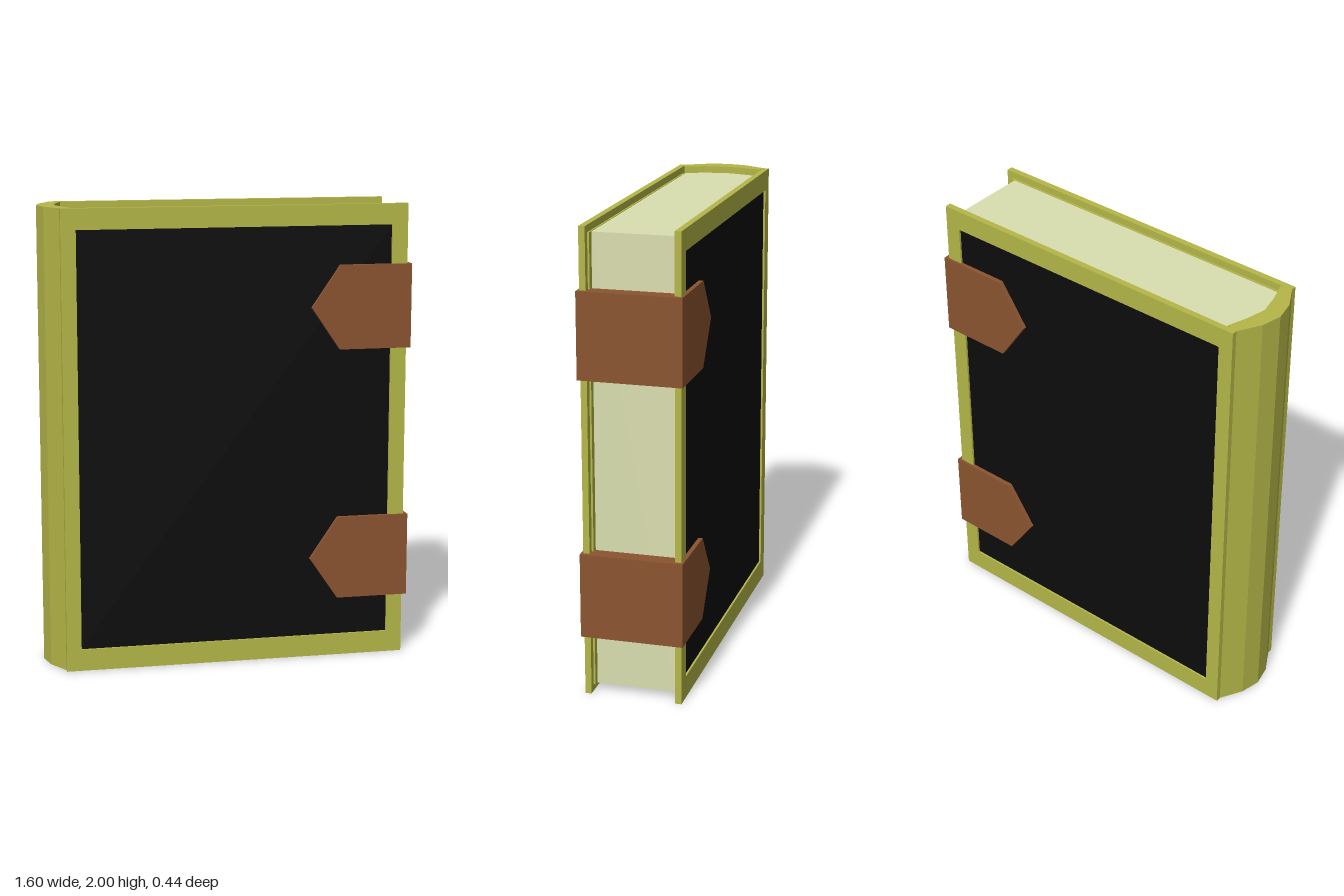
import * as THREE from 'three';

const mat = (color) => new THREE.MeshStandardMaterial({ color, flatShading: true });

function polygon(points) {
  return new THREE.Shape(points.map(([x, y]) => new THREE.Vector2(x, y)));
}

function rectPoints(x0, y0, x1, y1) {
  return [[x0, y0], [x1, y0], [x1, y1], [x0, y1]];
}

// Slab drawn in the xy plane between z0 and z1
function slab(shape, z0, z1) {
  const g = new THREE.ExtrudeGeometry(shape, { depth: z1 - z0, bevelEnabled: false });
  return g.translate(0, 0, z0);
}

// Outline drawn in the xz plane, raised from y0 to y1
function column(points, y0, y1) {
  const shape = polygon(points.map(([x, z]) => [x, -z]));
  const g = new THREE.ExtrudeGeometry(shape, { depth: y1 - y0, bevelEnabled: false });
  return g.rotateX(-Math.PI / 2).translate(0, y0, 0);
}

export function createModel() {
  const book = new THREE.Group();
  book.name = 'book';
  const gold = mat(0xb5b748);
  const paper = mat(0xdadeb0);
  const black = mat(0x0c0c0c);
  const leather = mat(0x8b5430);

  const add = (name, geometry, material, parent = book) => {
    const mesh = new THREE.Mesh(geometry, material);
    mesh.name = name;
    parent.add(mesh);
    return mesh;
  };

  // Covers: border frame, recessed panel and inner lining
  const frame = polygon(rectPoints(-0.725, 0, 0.78, 2));
  frame.holes.push(polygon(rectPoints(-0.66, 0.095, 0.71, 1.91)));
  const panel = polygon(rectPoints(-0.67, 0.085, 0.72, 1.92));
  const lining = polygon(rectPoints(-0.675, 0.03, 0.75, 1.97));
  for (const [name, turn] of [['frontCover', 1], ['backCover', -1]]) {
    const cover = new THREE.Group();
    cover.name = name;
    add('coverFrame', slab(frame, 0.183, 0.21), gold, cover);
    add('coverPanel', slab(panel, 0.186, 0.201), black, cover);
    add('coverLining', slab(lining, 0.175, 0.185), gold, cover);
    // mirror the back cover by flipping z and the triangle winding
    if (turn < 0) cover.scale.z = -1;
    book.add(cover);
  }

  // Rounded spine
  const outer = [[-0.725, -0.187], [-0.78, -0.09], [-0.8, 0], [-0.78, 0.09], [-0.725, 0.187]];
  const inner = [[-0.675, 0.178], [-0.705, 0.09], [-0.725, 0], [-0.705, -0.09], [-0.675, -0.178]];
  add('spine', column([...outer, ...inner], 0, 2), gold);

  // Page block with a rounded back
  const pages = [[0.73, -0.172], [0.73, 0.172], [-0.68, 0.172], [-0.705, 0.09],
    [-0.725, 0], [-0.705, -0.09], [-0.68, -0.172]];
  add('pages', column(pages, 0.03, 1.97), paper);

  // Straps: pointed flap on each cover joined across the page edge
  for (const y of [0.447, 1.558]) {
    const strap = new THREE.Group();
    strap.name = 'strap';
    const h = 0.183;
    const flap = polygon([[0.355, 0], [0.48, -h], [0.79, -h], [0.79, h], [0.48, h]]);
    add('frontFlap', slab(flap, 0.167, 0.22), leather, strap);
    add('backFlap', slab(flap, -0.22, -0.167), leather, strap);
    const band = new THREE.BoxGeometry(0.07, h * 2, 0.44);
    add('band', band.translate(0.763, 0, 0), leather, strap);
    strap.position.y = y;
    book.add(strap);
  }

  return book;
}
